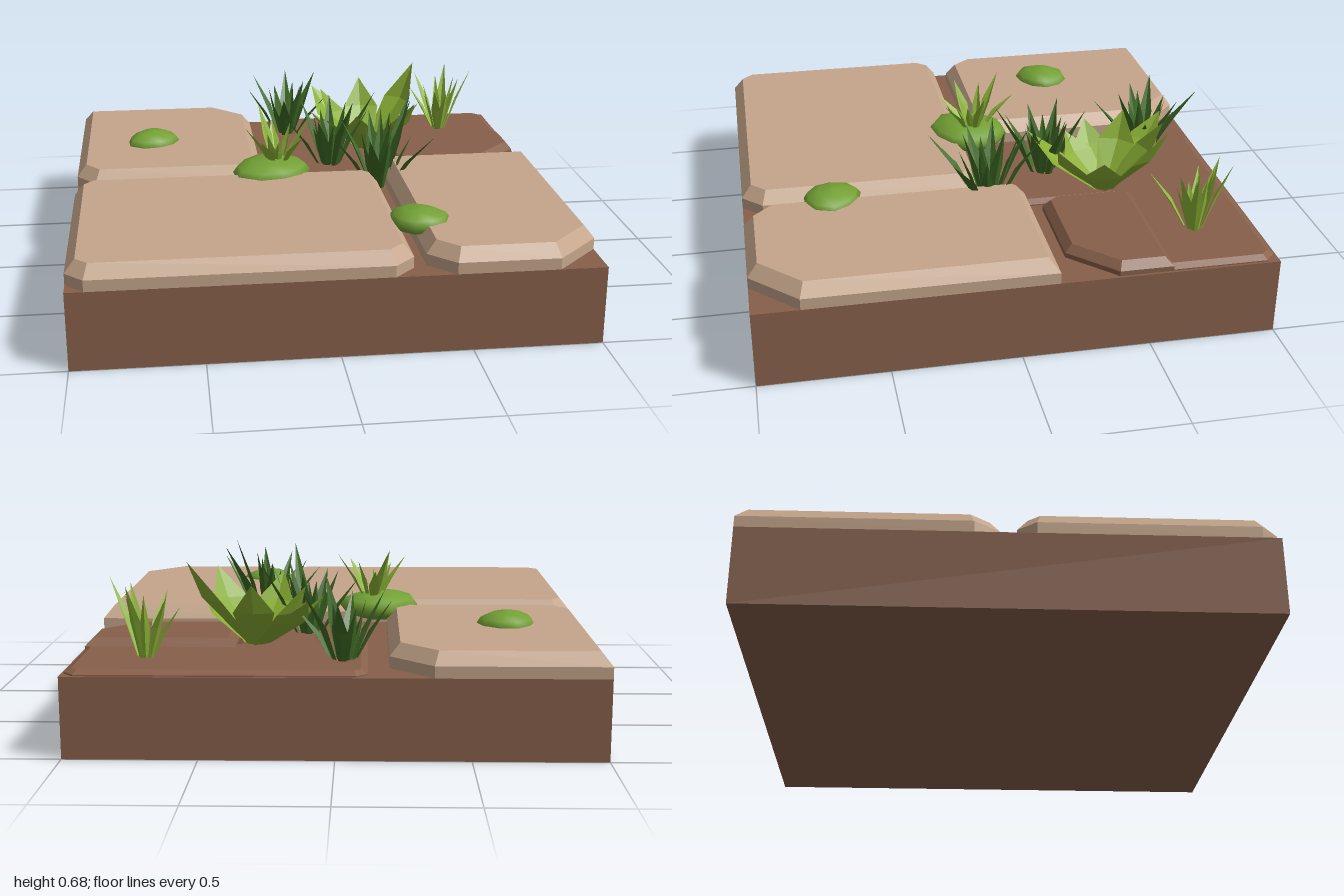
import * as THREE from 'three';

const mat = (name, color, side = THREE.FrontSide) => {
  const m = new THREE.MeshStandardMaterial({ color, side });
  m.name = name;
  return m;
};

export function createModel() {
  const group = new THREE.Group();
  group.name = 'pavingTile';

  const soil = mat('soil brown', 0x87604a);
  const stone = mat('stone tan', 0xc4a58a);
  const moss = mat('moss green', 0x73a035);
  const darkGrass = mat('dark grass green', 0x3f6b25, THREE.DoubleSide);
  const lightGrass = mat('light grass green', 0x8fb838, THREE.DoubleSide);
  const leaf = mat('leaf green', 0x88ad33, THREE.DoubleSide);

  const add = (name, geometry, material) => {
    const mesh = new THREE.Mesh(geometry, material);
    mesh.name = name;
    group.add(mesh);
    return mesh;
  };

  // Soil block
  const GROUND = 0.31;
  add('soilBlock', new THREE.BoxGeometry(2, GROUND, 2).translate(0, GROUND / 2, 0), soil);

  // Chamfered slab from an [x, z] outline; its lower chamfer sits inside the soil
  const slab = (name, outline, top, bevel, drop, material) => {
    const shape = new THREE.Shape(outline.map(([x, z]) => new THREE.Vector2(x, -z)));
    const g = new THREE.ExtrudeGeometry(shape, {
      depth: top - drop - GROUND, bevelEnabled: true, bevelSegments: 1,
      bevelSize: bevel, bevelThickness: drop, bevelOffset: -bevel,
    });
    g.rotateX(-Math.PI / 2).translate(0, GROUND, 0);
    return add(name, g, material);
  };

  slab('backLeftInPlanStone', [[-1, -1], [-0.36, -1], [-0.2, -0.84], [-0.2, -0.08],
    [-0.25, -0.03], [-0.92, -0.03], [-1, -0.13]], 0.405, 0.04, 0.05, stone);
  slab('frontWideStone', [[-0.94, 0.03], [0.23, 0.03], [0.28, 0.08], [0.28, 0.92],
    [0.2, 1], [-0.93, 1], [-1, 0.93], [-1, 0.1]], 0.405, 0.04, 0.05, stone);
  slab('frontNarrowStone', [[0.37, -0.14], [1, -0.14], [1, 0.82], [0.82, 1],
    [0.43, 1], [0.33, 0.9], [0.33, -0.1]], 0.405, 0.04, 0.05, stone);

  // Sunken slab and the broken piece on it
  slab('sunkenSlab', [[-0.08, -0.99], [0.95, -0.99], [0.99, -0.95], [0.99, -0.5],
    [0.4, -0.5], [0.4, -0.1], [0.34, -0.06], [-0.08, -0.06], [-0.12, -0.1], [-0.12, -0.95]],
  0.33, 0.025, 0.015, soil);
  slab('brokenPiece', [[0.4, -0.58], [0.99, -0.58], [0.99, -0.37], [0.82, -0.2],
    [0.44, -0.2], [0.4, -0.25]], 0.36, 0.03, 0.03, soil);

  // Moss cushions: squashed spheres with an uneven rim
  const cushion = (x, y, z, rx, ry, rz, phase) => {
    const g = new THREE.SphereGeometry(1, 10, 6);
    const p = g.attributes.position;
    for (let i = 0; i < p.count; i++) {
      const a = Math.atan2(p.getZ(i), p.getX(i));
      const k = 1 + 0.07 * Math.sin(2 * a + phase) + 0.05 * Math.sin(3 * a + phase * 2);
      p.setXYZ(i, p.getX(i) * k * rx, p.getY(i) * ry, p.getZ(i) * k * rz);
    }
    g.computeVertexNormals();
    add('mossCushion', g, moss).position.set(x, y, z);
  };
  cushion(-0.67, 0.4, -0.45, 0.12, 0.055, 0.115, 3.6);
  cushion(0.35, 0.395, 0.645, 0.115, 0.05, 0.12, 0.6);
  cushion(-0.17, 0.395, 0.0, 0.17, 0.06, 0.165, 3.4);

  // One folded blade: narrow foot, widest partway up, pointed tip
  const blade = (out, foot, tip, width, belly, rise, fold) => {
    const dir = tip.clone().sub(foot).setY(0).normalize();
    const side = new THREE.Vector3(-dir.z, 0, dir.x);
    const mid = foot.clone().lerp(tip, belly);
    mid.y = foot.y + (tip.y - foot.y) * rise;
    const ridge = mid.clone().addScaledVector(dir, fold * width);
    const at = (c, w) => c.clone().addScaledVector(side, w);
    const [fl, fr] = [at(foot, -width * 0.25), at(foot, width * 0.25)];
    const [ml, mr] = [at(mid, -width / 2), at(mid, width / 2)];
    const root = foot.clone().addScaledVector(dir, fold * width * 0.4);
    [[fl, ml, root], [root, ml, ridge], [root, ridge, mr], [root, mr, fr],
      [ml, tip, ridge], [ridge, tip, mr]].forEach((t) => t.forEach((v) => out.push(v.x, v.y, v.z)));
  };

  // A clump grows from one centre to tips given as [x, z, y]
  const clump = (name, [cx, cz, cy], tips, material, o) => {
    const out = [];
    const centre = new THREE.Vector3(cx, cy, cz);
    for (const [x, z, y] of tips) {
      const tip = new THREE.Vector3(x, y, z);
      const foot = centre.clone().lerp(tip, o.spread).setY(cy);
      blade(out, foot, tip, o.width, o.belly, o.rise, o.fold);
      // Shorter inner blade beside each long one
      if (o.inner) {
        const t = new THREE.Vector3(x - cx, 0, z - cz)
          .applyAxisAngle(new THREE.Vector3(0, 1, 0), 0.5).multiplyScalar(0.5).add(centre);
        t.y = cy + (y - cy) * 0.85;
        blade(out, centre.clone().lerp(t, 0.3).setY(cy), t, o.width * 0.8, o.belly, o.rise, o.fold);
      }
    }
    const g = new THREE.BufferGeometry();
    g.setAttribute('position', new THREE.Float32BufferAttribute(out, 3));
    g.computeVertexNormals();
    add(name, g, material);
  };

  const grass = { width: 0.055, belly: 0.4, rise: 0.5, fold: 0.25, spread: 0.2, inner: true };
  clump('backDarkGrass', [-0.03, -0.76, 0.31], [[-0.01, -0.99, 0.58], [-0.21, -0.75, 0.55],
    [-0.18, -0.83, 0.6], [-0.06, -0.54, 0.55], [0.04, -0.62, 0.62], [0.16, -0.71, 0.52],
    [0.12, -0.86, 0.6]], darkGrass, grass);
  clump('middleDarkGrass', [0.12, -0.28, 0.31], [[0.14, -0.45, 0.6], [-0.08, -0.25, 0.55],
    [0, -0.36, 0.6], [0.05, -0.12, 0.57], [0.19, -0.05, 0.67], [0.28, -0.19, 0.6],
    [0.33, -0.32, 0.64]], darkGrass, grass);
  clump('frontDarkGrass', [0.3, 0, 0.31], [[0.47, -0.2, 0.67], [0.09, 0.05, 0.55],
    [0.14, -0.05, 0.6], [0.22, 0.24, 0.59], [0.33, 0.11, 0.63], [0.51, 0.18, 0.58],
    [0.44, -0.04, 0.68], [0.28, -0.17, 0.6]], darkGrass, grass);

  const fine = { ...grass, width: 0.045 };
  clump('cornerLightGrass', [0.72, -0.75, 0.33], [[0.62, -0.87, 0.58], [0.58, -0.8, 0.53],
    [0.77, -0.87, 0.62], [0.86, -0.7, 0.63], [0.66, -0.57, 0.56], [0.79, -0.65, 0.6]],
  lightGrass, fine);
  clump('mossLightGrass', [-0.14, -0.02, 0.42], [[-0.21, -0.14, 0.65], [-0.28, 0.04, 0.6],
    [-0.22, 0.12, 0.56], [-0.04, 0.12, 0.58], [0.01, -0.04, 0.62], [-0.15, -0.2, 0.57]],
  lightGrass, fine);

  // Broad-leaved plant
  clump('broadLeafPlant', [0.32, -0.49, 0.33], [[0.1, -0.79, 0.55], [0.32, -0.73, 0.6],
    [0.57, -0.67, 0.68], [0.55, -0.42, 0.55], [0.5, -0.24, 0.6], [0.23, -0.18, 0.57],
    [0.12, -0.37, 0.5], [0.05, -0.47, 0.52], [0.12, -0.62, 0.58]], leaf,
  { width: 0.16, belly: 0.62, rise: 0.55, fold: 0.15, spread: 0.1, inner: false });

  return group;
}
